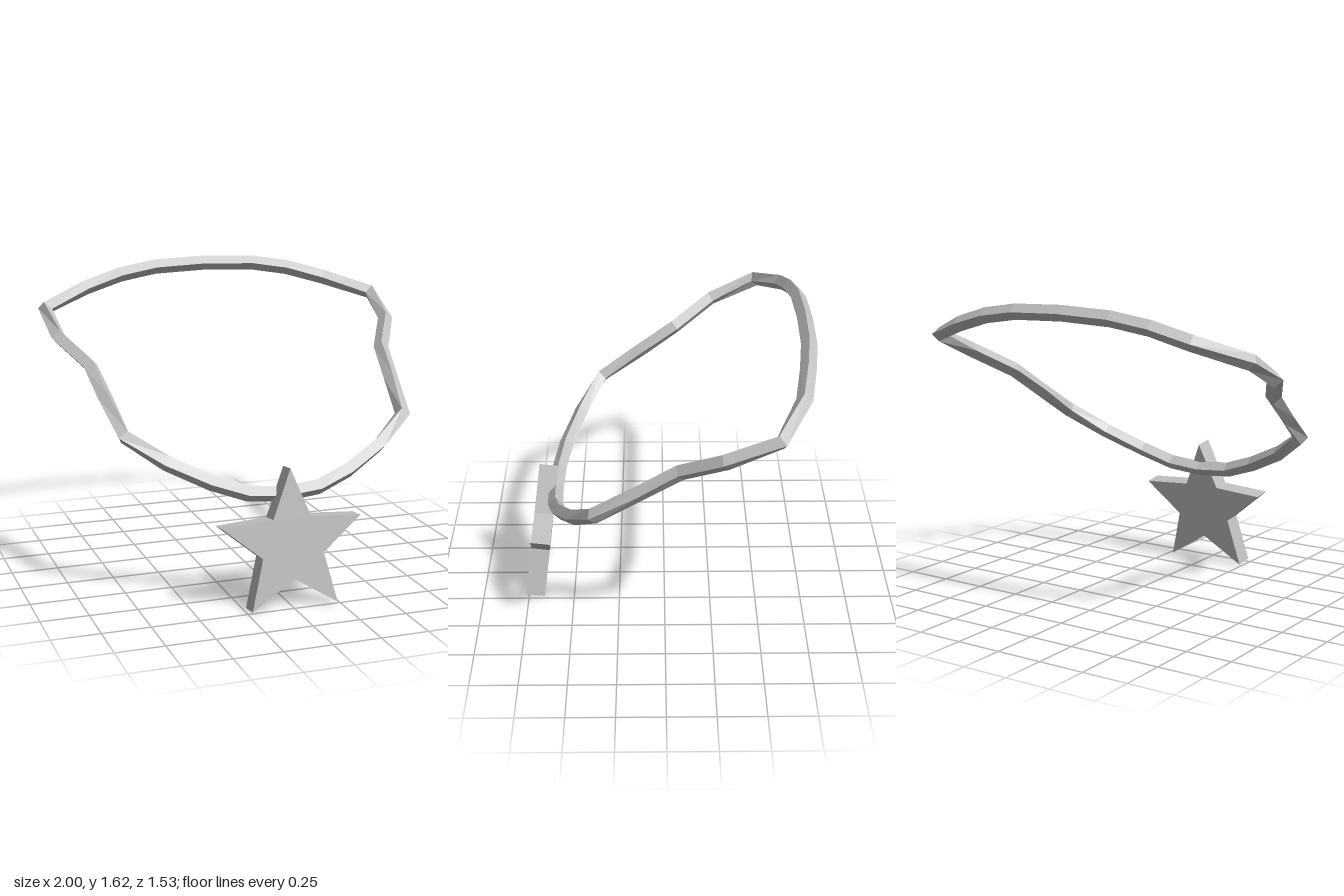
import * as THREE from 'three';

const silver = new THREE.MeshStandardMaterial({ color: 0xc2c2c2, flatShading: true });
silver.name = 'silver';

// Half of the loop's centre line, from the front middle round the left side to the back middle
const HALF_PATH = [
  [0, 0.565, 0.592], [0.19, 0.582, 0.585], [0.37, 0.645, 0.55], [0.58, 0.745, 0.47],
  [0.765, 0.87, 0.357], [0.80, 1.02, 0.13], [0.83, 1.155, -0.07], [0.95, 1.28, -0.28],
  [0.965, 1.395, -0.535], [0.71, 1.48, -0.66], [0.5, 1.54, -0.695], [0.29, 1.573, -0.718],
  [0, 1.583, -0.724],
];

// Closed faceted band: a diamond section carried along the path, kept level
function bandGeometry(radius) {
  const half = HALF_PATH.map((p) => new THREE.Vector3(...p));
  const mirrored = half.slice(1, -1).reverse().map((p) => new THREE.Vector3(-p.x, p.y, p.z));
  const path = [...half, ...mirrored];
  const n = path.length;
  const up = new THREE.Vector3(0, 1, 0);

  const rings = path.map((p, i) => {
    const before = p.clone().sub(path[(i + n - 1) % n]).normalize();
    const after = path[(i + 1) % n].clone().sub(p).normalize();
    const tangent = before.add(after).normalize();
    const out = tangent.clone().cross(up).normalize();
    const lift = out.clone().cross(tangent);
    return [[1, 0], [0, 1], [-1, 0], [0, -1]].map(([a, b]) =>
      p.clone().addScaledVector(out, a * radius).addScaledVector(lift, b * radius));
  });

  const corners = [];
  for (let i = 0; i < n; i++) {
    const r = rings[i];
    const s = rings[(i + 1) % n];
    for (let k = 0; k < 4; k++) {
      const m = (k + 1) % 4;
      corners.push(r[k], s[k], s[m], r[k], s[m], r[m]);
    }
  }
  const geometry = new THREE.BufferGeometry().setFromPoints(corners);
  geometry.computeVertexNormals();
  return geometry;
}

// Five-pointed star plate, centred on its own middle
function starGeometry(outer, inner, depth) {
  const points = [];
  for (let i = 0; i < 10; i++) {
    const r = i % 2 ? inner : outer;
    const a = Math.PI / 2 + (i * Math.PI) / 5;
    points.push(new THREE.Vector2(r * Math.cos(a), r * Math.sin(a)));
  }
  const geometry = new THREE.ExtrudeGeometry(new THREE.Shape(points), { depth, bevelEnabled: false });
  return geometry.translate(0, 0, -depth / 2);
}

export function createModel() {
  const model = new THREE.Group();
  model.name = 'necklace';

  const band = new THREE.Mesh(bandGeometry(0.041), silver);
  band.name = 'neckBand';
  model.add(band);

  // Pendant leans back at the top
  const star = new THREE.Mesh(starGeometry(0.391, 0.172, 0.103), silver);
  star.name = 'starPendant';
  star.position.set(0, 0.326, 0.675);
  star.rotation.x = -0.124;
  model.add(star);

  return model;
}
